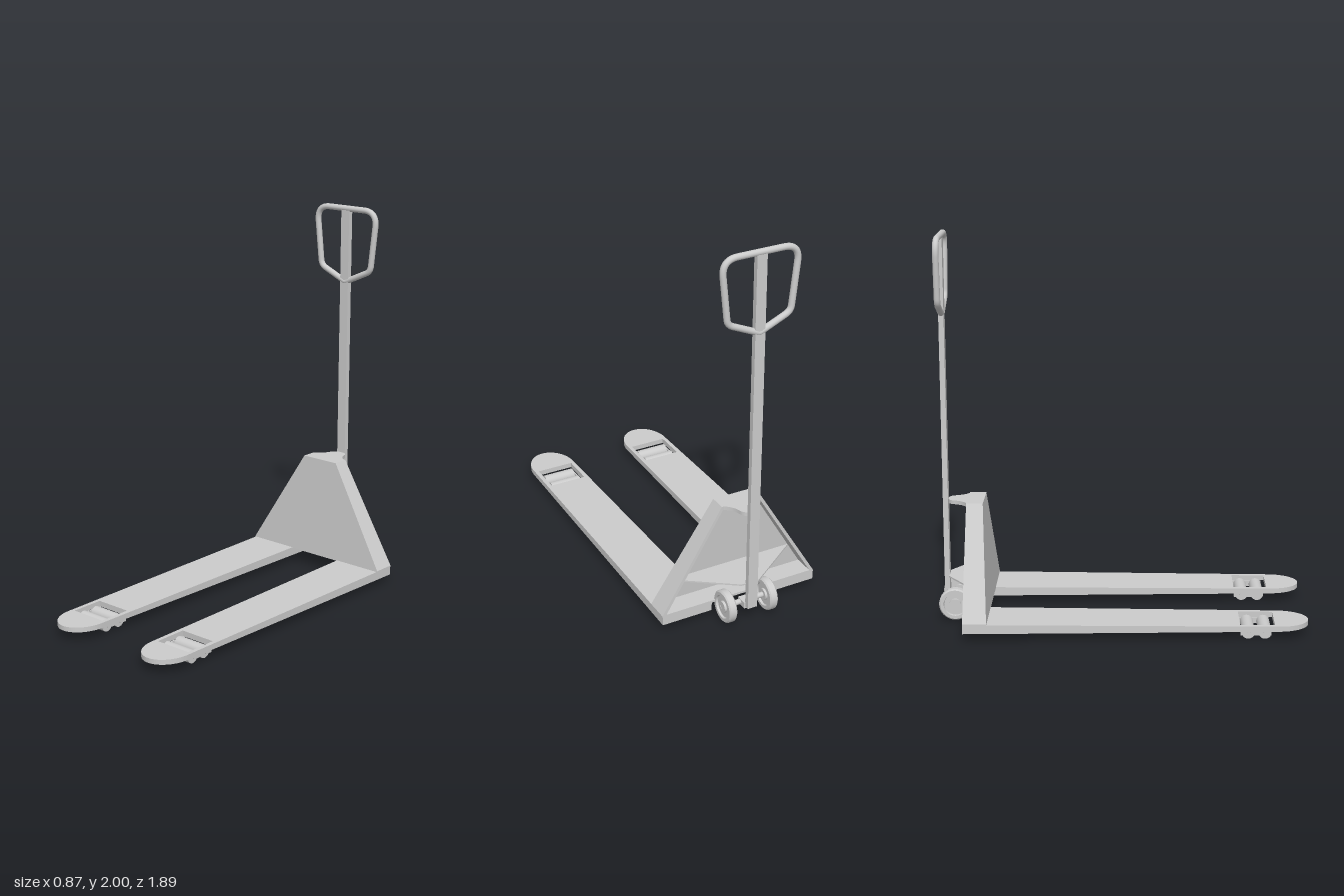
import * as THREE from 'three';

const mat = new THREE.MeshStandardMaterial({ color: 0xcccccc, side: THREE.DoubleSide });

function add(parent, name, geometry, x = 0, y = 0, z = 0) {
  const mesh = new THREE.Mesh(geometry, mat);
  mesh.name = name;
  mesh.position.set(x, y, z);
  parent.add(mesh);
  return mesh;
}

function polygon(points) {
  return new THREE.Shape(points.map(([x, y]) => new THREE.Vector2(x, y)));
}

// Moves every vertex by a rule
function reshape(geometry, rule) {
  const p = geometry.attributes.position;
  const v = new THREE.Vector3();
  for (let i = 0; i < p.count; i++) {
    rule(v.fromBufferAttribute(p, i));
    p.setXYZ(i, v.x, v.y, v.z);
  }
  geometry.computeVertexNormals();
  return geometry;
}

// Horizontal slab from an (x, z) outline, its top face at y = 0
function slab(shape, depth) {
  return new THREE.ExtrudeGeometry(shape, { depth, bevelEnabled: false, curveSegments: 20 })
    .rotateX(Math.PI / 2);
}

// Cylinder lying along x
function rod(radius, length, sides = 28) {
  return new THREE.CylinderGeometry(radius, radius, length, sides).rotateZ(Math.PI / 2);
}

// One fork: narrows and thins towards a rounded tip, with a roller window
function makeFork(side) {
  const fork = new THREE.Group();
  fork.name = side > 0 ? 'leftFork' : 'rightFork';
  const cx = 0.295 * side;

  const shape = new THREE.Shape();
  shape.moveTo(-0.137, -0.797);
  shape.lineTo(0.137, -0.797);
  shape.lineTo(0.121, 0.79);
  shape.absellipse(0, 0.79, 0.121, 0.155, 0, Math.PI, false);
  shape.lineTo(-0.137, -0.797);
  const hole = polygon([[-0.1, 0.595], [-0.1, 0.77], [0.1, 0.77], [0.1, 0.595]]);
  shape.holes.push(hole);
  const blade = reshape(slab(shape, 1), (v) => {
    const t = (v.z + 0.797) / 1.742;
    const top = 0.086 - 0.01 * t;
    const bottom = 0.038 + 0.013 * t;
    v.y = v.y < -0.5 ? bottom : top;
  });
  add(fork, 'forkBlade', blade, cx, 0, 0);

  // Tandem load rollers between two link plates
  for (const z of [0.638, 0.722]) {
    add(fork, 'loadRoller', rod(0.033, 0.172), cx, 0.033, z);
    add(fork, 'rollerPin', rod(0.009, 0.2, 12), cx, 0.033, z);
  }
  for (const s of [-1, 1]) {
    add(fork, 'rollerLink', new THREE.BoxGeometry(0.008, 0.03, 0.155), cx + s * 0.091, 0.036, 0.675);
  }
  return fork;
}

// Sloped housing, open at the back
function makeHousing() {
  const housing = new THREE.Group();
  housing.name = 'housing';
  const y0 = 0.082, y1 = 0.625, back = -0.797;
  const front = (y) => -0.676 - 0.036 * (y - y0) / (y1 - y0);
  const outline = [[-0.434, y0], [0.434, y0], [0.434, 0.09], [0.11, y1], [-0.11, y1], [-0.434, 0.09]];

  const frame = polygon(outline);
  frame.holes.push(polygon([[-0.412, 0.094], [-0.104, 0.605], [0.104, 0.605], [0.412, 0.094]]));
  const rim = new THREE.ExtrudeGeometry(frame, { depth: 1, bevelEnabled: false });
  add(housing, 'housingRim', reshape(rim, (v) => { v.z = v.z > 0.5 ? front(v.y) : back; }));

  const panel = new THREE.ExtrudeGeometry(polygon(outline), { depth: 1, bevelEnabled: false });
  add(housing, 'frontPanel', reshape(panel, (v) => { v.z = front(v.y) - (v.z > 0.5 ? 0 : 0.012); }));

  // Top bracket curving in to the mast
  const bracket = new THREE.Shape();
  bracket.moveTo(-0.11, -0.79);
  bracket.lineTo(0.11, -0.79);
  bracket.quadraticCurveTo(0.062, -0.815, 0.05, -0.865);
  bracket.quadraticCurveTo(0.04, -0.9, 0, -0.9);
  bracket.quadraticCurveTo(-0.04, -0.9, -0.05, -0.865);
  bracket.quadraticCurveTo(-0.062, -0.815, -0.11, -0.79);
  add(housing, 'topBracket', slab(bracket, 0.02), 0, y1, 0);

  // Thin triangular gusset reaching back to the mast
  const gusset = polygon([[-0.35, -0.69], [0.35, -0.69], [0.05, -0.9], [-0.05, -0.9]]);
  add(housing, 'gussetPlate', slab(gusset, 0.008), 0, 0.218, 0);
  return housing;
}

// Steering wheels, axle and its block
function makeSteering() {
  const steering = new THREE.Group();
  steering.name = 'steering';
  steering.position.set(0, 0.09, -0.862);
  const profile = [
    [0.012, -0.022], [0.03, -0.022], [0.03, -0.01], [0.058, -0.01], [0.06, -0.022], [0.077, -0.022],
    [0.084, -0.015], [0.084, 0.015], [0.077, 0.022], [0.06, 0.022], [0.058, 0.01], [0.03, 0.01],
    [0.03, 0.022], [0.012, 0.022],
  ];
  // Repeated profile points keep the rims crisp
  const points = profile.flatMap(([r, y]) => [new THREE.Vector2(r, y), new THREE.Vector2(r, y + 1e-5)]);
  const wheel = new THREE.LatheGeometry(points, 36).rotateZ(Math.PI / 2);
  for (const s of [-1, 1]) add(steering, 'steerWheel', wheel, s * 0.116, 0, 0);
  add(steering, 'axle', rod(0.014, 0.272, 16));
  add(steering, 'axleBlock', new THREE.BoxGeometry(0.07, 0.034, 0.06), 0, 0, -0.012);
  return steering;
}

// Closed loop grip with rounded corners
function makeHandle() {
  const corners = [
    [0, 1.586, 0.01], [0.166, 1.66, 0.03], [0.202, 1.984, 0.085], [-0.202, 1.984, 0.085], [-0.166, 1.66, 0.03],
  ].map(([x, y, r]) => ({ p: new THREE.Vector3(x, y, 0), r }));
  const n = corners.length;
  const toward = (a, b) => b.p.clone().sub(a.p).normalize().multiplyScalar(a.r).add(a.p);
  const path = new THREE.CurvePath();
  corners.forEach((c, i) => {
    const prev = corners[(i + n - 1) % n];
    const next = corners[(i + 1) % n];
    path.add(new THREE.QuadraticBezierCurve3(toward(c, prev), c.p, toward(c, next)));
    path.add(new THREE.LineCurve3(toward(c, next), toward(next, c)));
  });
  return new THREE.TubeGeometry(path, 160, 0.016, 14, true);
}

export function createModel() {
  const model = new THREE.Group();
  model.name = 'palletTruck';
  for (const side of [-1, 1]) model.add(makeFork(side));
  model.add(makeHousing(), makeSteering());
  add(model, 'mast', new THREE.BoxGeometry(0.053, 1.9, 0.027), 0, 1.03, -0.912);
  add(model, 'handleLoop', makeHandle(), 0, 0, -0.912);
  return model;
}
